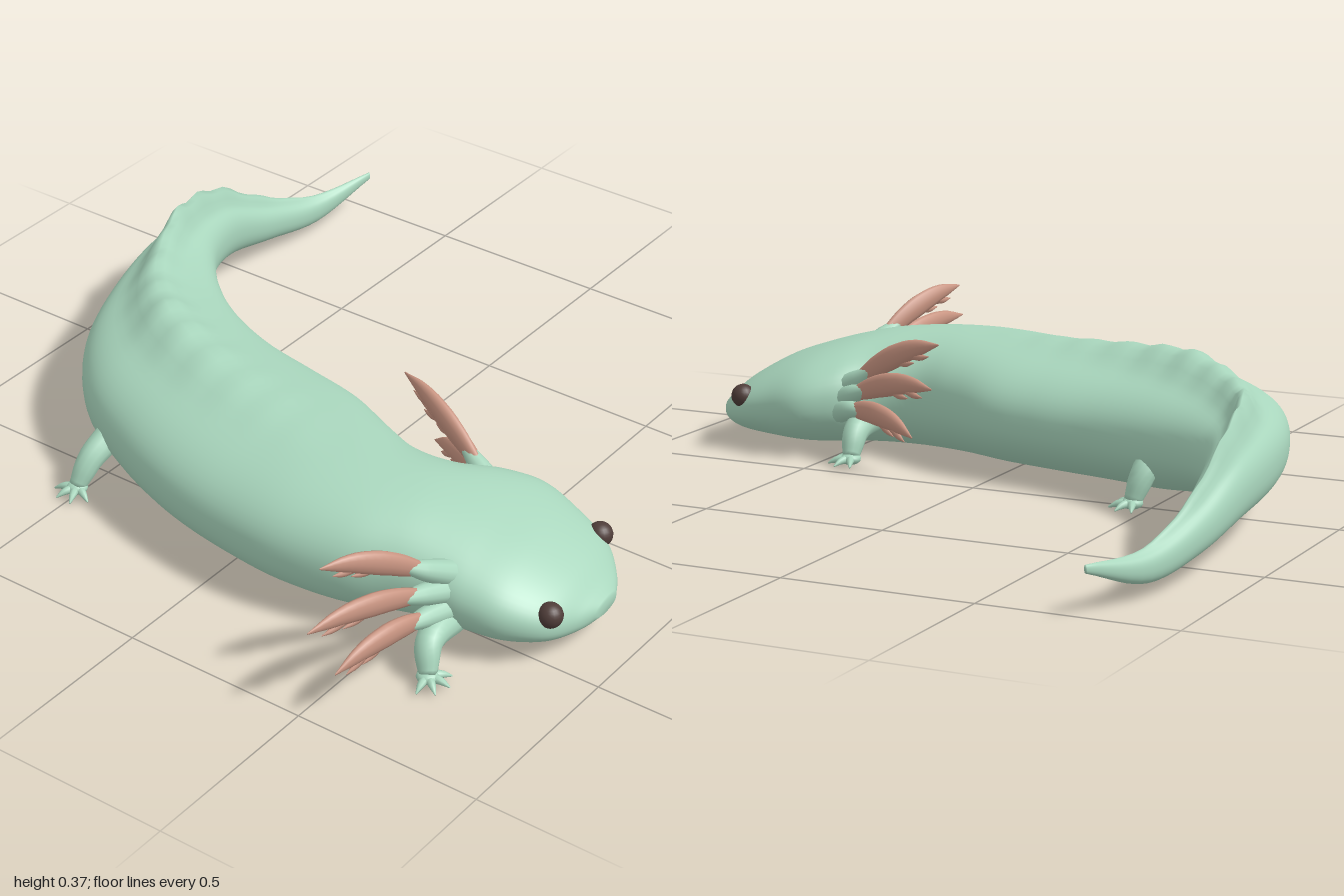
import * as THREE from 'three';

const mat = (name, color) => {
  const m = new THREE.MeshStandardMaterial({ color });
  m.name = name;
  return m;
};
const V = (p) => new THREE.Vector3(...p);

// Skins a list of rings into one smooth closed surface, ends closed at their centres
function skin(rings) {
  const n = rings[0].length;
  const cap = (r) => {
    const c = new THREE.Vector3();
    r.forEach((p) => c.addScaledVector(p, 1 / n));
    return r.map(() => c);
  };
  const all = [cap(rings[0]), ...rings, cap(rings[rings.length - 1])];
  const pos = [], idx = [];
  all.forEach((r) => r.forEach((p) => pos.push(p.x, p.y, p.z)));
  for (let i = 0; i < all.length - 1; i++) {
    for (let j = 0; j < n; j++) {
      const k = (j + 1) % n, a = i * n, b = a + n;
      idx.push(a + j, b + j, a + k, a + k, b + j, b + k);
    }
  }
  const g = new THREE.BufferGeometry();
  g.setAttribute('position', new THREE.Float32BufferAttribute(pos, 3));
  g.setIndex(idx);
  g.computeVertexNormals();
  return g;
}

// Tapered limb along a smooth path; radii spread evenly, flat scales the thickness
function limb(points, radii, flat = 1, steps = 14, sides = 12) {
  const curve = new THREE.CatmullRomCurve3(points.map(V));
  const rings = [];
  for (let i = 0; i <= steps; i++) {
    const t = i / steps, f = t * (radii.length - 1), k = Math.min(Math.floor(f), radii.length - 2);
    const r = THREE.MathUtils.lerp(radii[k], radii[k + 1], f - k);
    const c = curve.getPoint(t), d = curve.getTangent(t);
    const side = d.clone().cross(new THREE.Vector3(0, 1, 0.01)).normalize();
    const up = side.clone().cross(d).normalize();
    rings.push(Array.from({ length: sides }, (_, j) => {
      const a = (j / sides) * Math.PI * 2;
      return c.clone().addScaledVector(side, Math.cos(a) * r * flat).addScaledVector(up, Math.sin(a) * r);
    }));
  }
  return skin(rings);
}

// Body stations, nose to tail: right x,z, left x,z, bottom y, top y, fin height
const stations = [
  [-0.36, 0.905, -0.27, 0.898, 0.065, 0.1, 0],
  [-0.43, 0.888, -0.21, 0.862, 0.045, 0.125, 0],
  [-0.52, 0.85, -0.14, 0.79, 0.028, 0.175, 0],
  [-0.585, 0.77, -0.105, 0.68, 0.015, 0.23, 0],
  [-0.61, 0.68, -0.09, 0.58, 0.01, 0.265, 0],
  [-0.62, 0.6, -0.13, 0.49, 0.01, 0.29, 0],
  [-0.645, 0.5, -0.2, 0.4, 0.005, 0.31, 0],
  [-0.69, 0.38, -0.215, 0.29, 0, 0.32, 0],
  [-0.72, 0.2, -0.17, 0.17, 0, 0.325, 0],
  [-0.705, 0, -0.1, 0.02, 0, 0.32, 0.01],
  [-0.66, -0.2, -0.065, -0.13, 0, 0.315, 0.025],
  [-0.58, -0.4, -0.03, -0.3, 0.003, 0.31, 0.045],
  [-0.47, -0.59, 0.02, -0.44, 0.012, 0.305, 0.06],
  [-0.3, -0.74, 0.09, -0.57, 0.04, 0.295, 0.05],
  [-0.07, -0.84, 0.19, -0.69, 0.075, 0.285, 0.055],
  [0.15, -0.895, 0.28, -0.755, 0.09, 0.28, 0.075],
  [0.38, -0.915, 0.42, -0.8, 0.09, 0.25, 0.06],
  [0.6, -0.895, 0.6, -0.81, 0.055, 0.165, 0.03],
  [0.8, -0.85, 0.79, -0.795, 0.035, 0.11, 0.008],
  [1, -0.776, 0.995, -0.766, 0.1, 0.12, 0],
];
const last = stations.length - 1;
const path = (f) => new THREE.CatmullRomCurve3(stations.map((s) => V(f(s))));
const rightEdge = path((s) => [s[0], s[4], s[1]]);
const leftEdge = path((s) => [s[2], s[5], s[3]]);
const finHeight = path((s) => [s[6], 0, s[1]]);

// Point on the body at a station number and an angle around the section
function bodyPoint(s, angle) {
  const t = s / last;
  const r = rightEdge.getPoint(t), l = leftEdge.getPoint(t);
  const round = (v) => Math.sign(v) * Math.abs(v) ** 0.9;
  const c = round(Math.cos(angle)), n = round(Math.sin(angle));
  const fin = Math.max(0, finHeight.getPoint(t).x) * (1 + 0.1 * Math.sin(s * 9));
  return new THREE.Vector3(
    (r.x + l.x) / 2 + ((l.x - r.x) / 2) * c,
    (r.y + l.y) / 2 + ((l.y - r.y) / 2) * n + fin * Math.max(0, Math.sin(angle)) ** 30,
    (r.z + l.z) / 2 + ((l.z - r.z) / 2) * c,
  );
}

export function createModel() {
  const model = new THREE.Group();
  model.name = 'salamander';
  const skinMat = mat('mint skin', 0xa9d6bd);
  const gillMat = mat('salmon gills', 0xc99582);
  const eyeMat = mat('dark eyes', 0x4f3d39);
  const add = (name, geo, m, parent = model) => {
    const mesh = new THREE.Mesh(geo, m);
    mesh.name = name;
    parent.add(mesh);
    return mesh;
  };

  // Head, trunk, back fin and tail in one sweep
  const rings = [], steps = last * 6, sides = 56;
  for (let i = 0; i <= steps; i++) {
    rings.push(Array.from({ length: sides }, (_, j) => bodyPoint(i / 6, (j / sides) * Math.PI * 2)));
  }
  add('body', skin(rings), skinMat);

  // Eyes
  [['rightEye', 1.9, 148], ['leftEye', 2.2, 29]].forEach(([name, s, deg]) => {
    const eye = add(name, new THREE.SphereGeometry(0.032, 20, 14), eyeMat);
    eye.position.copy(bodyPoint(s, THREE.MathUtils.degToRad(deg)));
    eye.position.y -= 0.004;
  });

  // Feathery gills: root inside the head, base, tip
  const gills = {
    rightGill: [
      [[-0.56, 0.2, 0.62], [-0.64, 0.245, 0.595], [-0.9, 0.355, 0.49]],
      [[-0.56, 0.16, 0.63], [-0.66, 0.19, 0.605], [-1, 0.25, 0.53]],
      [[-0.56, 0.12, 0.64], [-0.67, 0.135, 0.62], [-0.97, 0.14, 0.585]],
    ],
    leftGill: [
      [[-0.2, 0.18, 0.5], [-0.175, 0.215, 0.43], [-0.1, 0.345, 0.15]],
      [[-0.19, 0.15, 0.5], [-0.15, 0.18, 0.43], [-0.03, 0.24, 0.135]],
      [[-0.18, 0.12, 0.5], [-0.135, 0.14, 0.43], [-0.015, 0.11, 0.185]],
    ],
  };
  for (const [name, list] of Object.entries(gills)) {
    list.forEach(([root, base, tip], i) => {
      const g = new THREE.Group();
      g.name = name + (i + 1);
      model.add(g);
      const at = (t, lift) => V(base).lerp(V(tip), t).add(V([0, lift, 0])).toArray();
      add('gillStalk', limb([root, base, at(0.18, 0.008)], [0.035, 0.026, 0.014]), skinMat, g);
      add('gillBranch', limb([base, at(0.35, 0.018), at(0.7, 0.018), tip],
        [0.018, 0.028, 0.032, 0.028, 0.018, 0.002], 0.6), gillMat, g);
      // Small barbs under the outer half
      [0.5, 0.68].forEach((t) => add('gillBarb',
        limb([at(t, 0.005), at(t + 0.1, -0.012), at(t + 0.2, -0.02)], [0.014, 0.01, 0.001], 0.7, 5, 8), gillMat, g));
    });
  }

  // Legs: shoulder, knee, ankle, then toes fanned around a heading (degrees, 0 = +x, 90 = +z)
  const legs = [
    ['rightFrontLeg', [[-0.58, 0.09, 0.63], [-0.685, 0.085, 0.645], [-0.725, 0.025, 0.67]], 105],
    ['leftFrontLeg', [[-0.2, 0.11, 0.41], [-0.115, 0.085, 0.405], [-0.075, 0.025, 0.4]], 40],
    ['rightHindLeg', [[-0.48, 0.13, -0.48], [-0.57, 0.09, -0.49], [-0.62, 0.025, -0.5]], 180],
    ['leftHindLeg', [[-0.04, 0.14, -0.5], [0.02, 0.1, -0.49], [0.05, 0.025, -0.47]], 45],
  ];
  legs.forEach(([name, pts, heading]) => {
    const leg = new THREE.Group();
    leg.name = name;
    model.add(leg);
    add('limb', limb(pts, [0.045, 0.038, 0.034, 0.03, 0.022]), skinMat, leg);
    const [x, y, z] = pts[2];
    const foot = add('foot', new THREE.SphereGeometry(0.028, 14, 10), skinMat, leg);
    foot.position.set(x, y - 0.003, z);
    foot.scale.y = 0.6;
    for (let i = 0; i < 4; i++) {
      const a = THREE.MathUtils.degToRad(heading - 66 + i * 44);
      const toe = (d, h) => [x + Math.cos(a) * d, h, z + Math.sin(a) * d];
      add('toe', limb([toe(0.008, 0.022), toe(0.035, 0.02), toe(0.06, 0.01)], [0.012, 0.01, 0.002], 1, 5, 8), skinMat, leg);
    }
  });

  return model;
}
